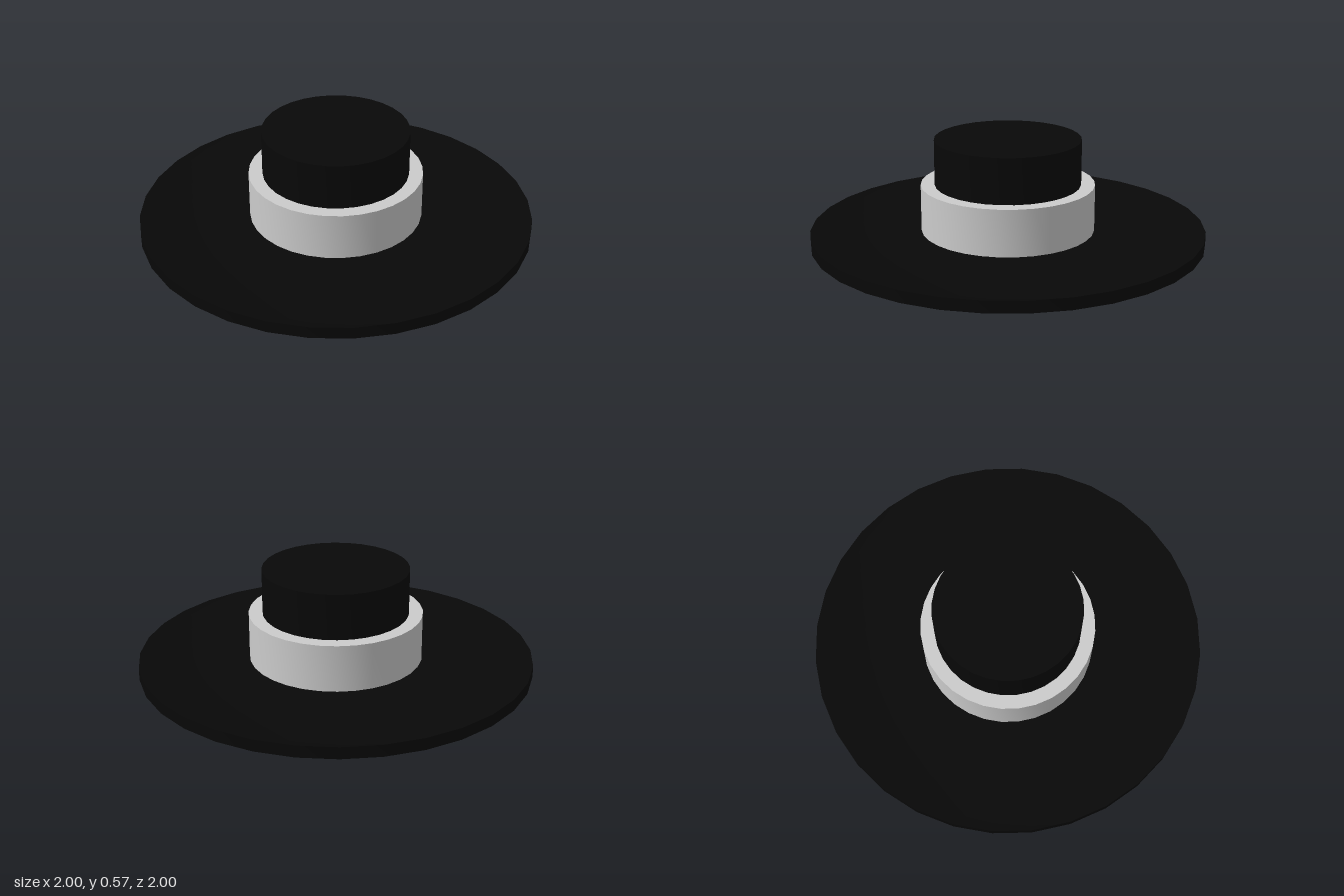
import * as THREE from 'three';
import { toCreasedNormals } from 'three/addons/utils/BufferGeometryUtils.js';

const SIDES = 32;

// Revolve a list of [radius, height] pairs around y
function lathe(pairs) {
  return new THREE.LatheGeometry(pairs.map(([r, y]) => new THREE.Vector2(r, y)), SIDES);
}

export function createModel() {
  const group = new THREE.Group();
  group.name = 'hat';

  // Hollow thin-walled crown on a brim that thickens towards the middle
  const shell = lathe([
    [0, 0.56], [0.36, 0.56], [0.36, 0],          // inside of the crown
    [0.4, 0], [1, 0.055], [1, 0.115],            // underside and rim
    [0.95, 0.106], [0.37, 0.104],                // low lip and top of the brim
    [0.37, 0.575], [0, 0.575],                   // outside of the crown
  ]);
  const felt = new THREE.Mesh(
    toCreasedNormals(shell, 0.6),
    new THREE.MeshStandardMaterial({ color: 0x080808 })
  );
  felt.name = 'crownAndBrim';
  group.add(felt);

  // Thick pale band around the crown, with softly shaded top and sides
  const band = new THREE.Mesh(
    toCreasedNormals(
      lathe([[0.368, 0.1], [0.44, 0.1], [0.44, 0.343], [0.368, 0.343]]),
      0.6
    ),
    new THREE.MeshStandardMaterial({ color: 0xcccccc })
  );
  band.name = 'hatBand';
  group.add(band);

  return group;
}
